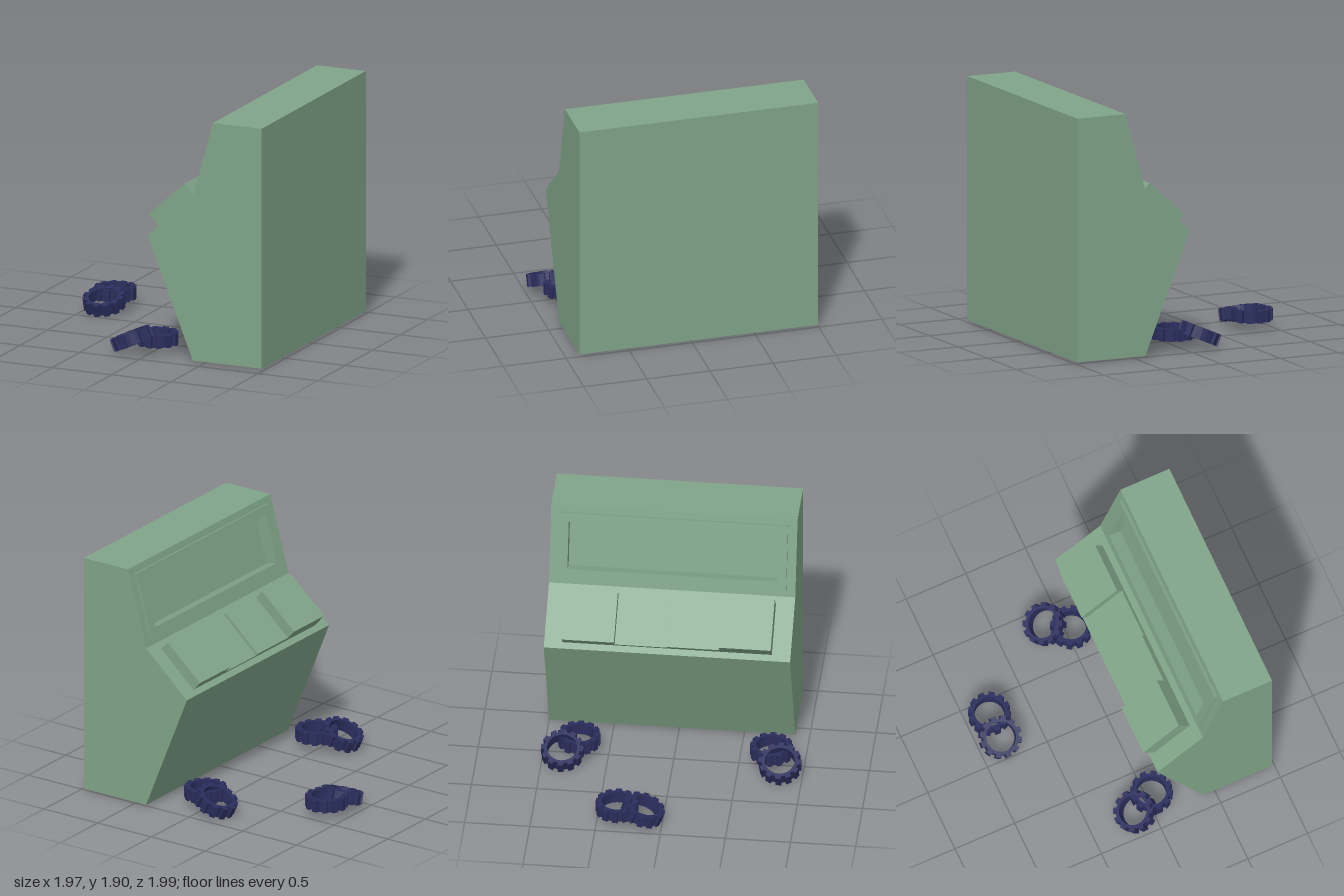
import * as THREE from 'three';

const green = new THREE.MeshStandardMaterial({ color: 0x80a488, side: THREE.DoubleSide, flatShading: true });
const navy = new THREE.MeshStandardMaterial({ color: 0x2a2d5c, flatShading: true });

const Z0 = -1, Z1 = 0.89;
// side profile of the cabinet, counter-clockwise
const profile = [
  [0.4, 0.01], [0.98, 0.01], [0.98, 1.905], [0.57, 1.905], [0.4, 1.295], [0.02, 0.955],
].map(([x, y]) => new THREE.Vector2(x, y));

function part(parent, name, geometry, material = green) {
  const mesh = new THREE.Mesh(geometry, material);
  mesh.name = name;
  parent.add(mesh);
  return mesh;
}

function rect(x0, y0, x1, y1, Type = THREE.Shape) {
  return new Type([[x0, y0], [x1, y0], [x1, y1], [x0, y1]].map(([x, y]) => new THREE.Vector2(x, y)));
}

// group lying on profile edge i: local x down the edge, local y along z, local z outward
function panelGroup(i, name) {
  const a = profile[i], u = profile[(i + 1) % profile.length].clone().sub(a).normalize();
  const g = new THREE.Group();
  g.name = name;
  g.setRotationFromMatrix(new THREE.Matrix4().makeBasis(
    new THREE.Vector3(u.x, u.y, 0), new THREE.Vector3(0, 0, 1), new THREE.Vector3(u.y, -u.x, 0)));
  g.position.set(a.x, a.y, 0);
  return g;
}

// ring with square teeth around the outside, lying flat
function gearGeometry() {
  const teeth = 12, root = 0.138, tip = 0.162, half = 0.022, thick = 0.095;
  const pts = [];
  for (let i = 0; i < teeth; i++) {
    const a = (i / teeth) * Math.PI * 2;
    for (const [r, w] of [[root, -half], [tip, -half], [tip, half], [root, half]]) {
      pts.push(new THREE.Vector2(r, w).rotateAround(new THREE.Vector2(), a));
    }
  }
  const shape = new THREE.Shape(pts);
  shape.holes.push(new THREE.Path().absarc(0, 0, 0.115, 0, Math.PI * 2, true));
  return new THREE.ExtrudeGeometry(shape, { depth: thick, bevelEnabled: false, curveSegments: 12 })
    .translate(0, 0, -thick / 2).rotateX(-Math.PI / 2);
}

export function createModel() {
  const model = new THREE.Group();
  model.name = 'cabinetWithGears';

  // opening of the display: [edge start, z start, edge end, z end]
  const opening = [0.123, -0.86, 0.508, 0.75];

  // cabinet shell: two ends and one panel per profile edge
  const cabinet = new THREE.Group();
  cabinet.name = 'cabinet';
  model.add(cabinet);
  for (const z of [Z0, Z1]) {
    part(cabinet, 'endPanel', new THREE.ShapeGeometry(new THREE.Shape(profile))).position.z = z;
  }
  const names = ['bottom', 'back', 'top', 'displayFace', 'console', 'lowerFront'];
  const panels = names.map((name, i) => {
    const g = panelGroup(i, name);
    const length = profile[i].distanceTo(profile[(i + 1) % profile.length]);
    const shape = rect(0, Z0, length, Z1);
    if (name === 'displayFace') shape.holes.push(rect(...opening, THREE.Path));
    part(g, name + 'Panel', new THREE.ShapeGeometry(shape));
    cabinet.add(g);
    return g;
  });

  // raised frame around the display
  const frame = rect(0.053, -0.935, 0.578, 0.82);
  frame.holes.push(rect(...opening, THREE.Path));
  part(panels[3], 'displayFrame', new THREE.ExtrudeGeometry(frame, { depth: 0.025, bevelEnabled: false }));

  // sunken box behind the frame, open at the front
  const [s0, z0, s1, z1] = opening, depth = 0.075;
  const recess = new THREE.BoxGeometry(s1 - s0, z1 - z0, depth);
  const index = Array.from(recess.index.array);
  index.splice(24, 6);
  recess.setIndex(index);
  recess.clearGroups();
  part(panels[3], 'displayRecess', recess).position.set((s0 + s1) / 2, (z0 + z1) / 2, -depth / 2);

  // four large keys pressed to different heights
  [0.09, 0.03, 0.052, 0.137].forEach((h, i) => {
    part(panels[4], 'key', new THREE.BoxGeometry(0.4, 0.4, h + 0.1))
      .position.set(0.26, -0.66 + i * 0.402, (h - 0.1) / 2);
  });

  // pairs of gears on the floor: one flat, one leaning on it
  const gear = gearGeometry();
  const lean = 0.41;
  const pairs = [
    { flat: [-0.825, 0.118, -0.35], leaning: [-0.825, 0.094, -0.15], rot: [0.3, 0, 0] },
    { flat: [0.035, 0.118, -0.73], leaning: [-0.14, 0.113, -0.84], rot: [0, 0, lean] },
    { flat: [0.035, 0.118, 0.745], leaning: [-0.14, 0.113, 0.83], rot: [0, 0, lean] },
  ];
  for (const p of pairs) {
    const pair = new THREE.Group();
    pair.name = 'gearPair';
    part(pair, 'flatGear', gear, navy).position.set(...p.flat);
    const tilted = part(pair, 'leaningGear', gear, navy);
    tilted.position.set(...p.leaning);
    tilted.rotation.set(...p.rot);
    model.add(pair);
  }
  return model;
}
